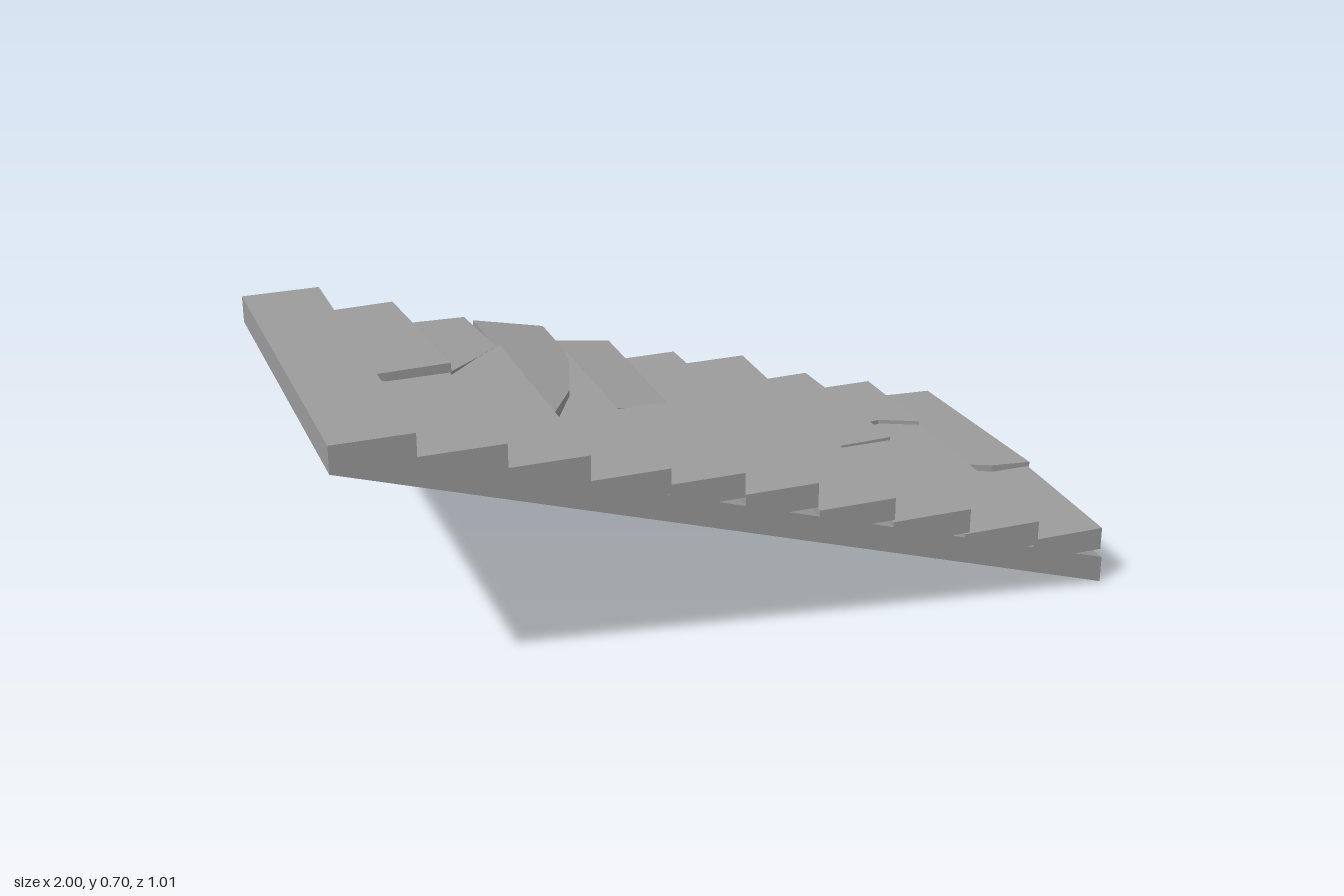
import * as THREE from 'three';

const material = new THREE.MeshStandardMaterial({ color: 0x9c9c9c, flatShading: true });
const THICK = 0.065;

const toShape = (points) => new THREE.Shape(points.map(([a, b]) => new THREE.Vector2(a, b)));

// Stone slab with a plan outline of [x, z] points. y is the top height at the
// first point; sx and sz tilt the slab along x and z.
function slab(name, outline, y, sx = 0, sz = 0, thick = THICK) {
  const shape = toShape(outline.map(([x, z]) => [x, -z]));
  const geo = new THREE.ExtrudeGeometry(shape, { depth: thick, bevelEnabled: false });
  geo.rotateX(-Math.PI / 2);
  const [x0, z0] = outline[0];
  const pos = geo.attributes.position;
  for (let i = 0; i < pos.count; i++) {
    pos.setY(i, pos.getY(i) + y - thick + sx * (pos.getX(i) - x0) + sz * (pos.getZ(i) - z0));
  }
  geo.computeVertexNormals();
  const mesh = new THREE.Mesh(geo, material);
  mesh.name = name;
  return mesh;
}

const rect = (x0, x1, zFront, zBack) => [[x0, zFront], [x1, zFront], [x1, zBack], [x0, zBack]];

export function createModel() {
  const group = new THREE.Group();
  group.name = 'brokenStairs';

  // Sloping base that carries the treads, cut flat under the top tread
  const side = toShape([[-1, 0.63], [0.993, 0], [0.993, 0.07], [-0.8, 0.637], [-1, 0.637]]);
  const baseGeo = new THREE.ExtrudeGeometry(side, { depth: 1, bevelEnabled: false });
  baseGeo.translate(0, 0, -0.495);
  const base = new THREE.Mesh(baseGeo, material);
  base.name = 'slopingBase';
  group.add(base);

  // Whole treads
  group.add(
    slab('topTread', rect(-1, -0.8, 0.505, -0.495), 0.7),
    slab('sixthTread', rect(-0.005, 0.185, 0.505, -0.495), 0.415, 0, 0.034),
    slab('seventhTread', rect(0.19, 0.393, 0.505, -0.495), 0.34, 0, 0, 0.06),
  );

  // Second tread, cracked across the middle
  group.add(
    slab('secondTreadFront', rect(-0.8, -0.59, 0.505, 0.01), 0.641, 0, 0.035),
    slab('secondTreadBack', [[-0.79, 0.003], [-0.582, -0.005], [-0.605, -0.505], [-0.8, -0.495]], 0.643, 0, 0.025),
  );

  // Third tread, with a loose rear corner
  group.add(
    slab('thirdTreadFront', [[-0.61, 0.505], [-0.393, 0.505], [-0.393, -0.228], [-0.575, -0.085], [-0.61, -0.48]],
      0.58),
    slab('thirdTreadBack', [[-0.565, -0.075], [-0.4, -0.235], [-0.412, -0.505], [-0.597, -0.49]], 0.59, -0.05, 0.05),
  );

  // Fourth tread, split diagonally with the rear shard tilted up
  group.add(
    slab('fourthTreadFront', [[-0.41, 0.505], [-0.195, 0.505], [-0.195, -0.3], [-0.28, 0], [-0.39, 0.2], [-0.41, 0.2]],
      0.515, 0, 0.005),
    slab('fourthTreadShard', [[-0.39, 0.2], [-0.28, 0], [-0.195, -0.27], [-0.195, -0.495], [-0.39, -0.495]],
      0.552, -0.22),
  );

  // Fifth tread, with the rear half sagging towards its edge
  group.add(
    slab('fifthTreadFront', rect(-0.2, -0.007, 0.505, 0.005), 0.473, 0, 0.03),
    slab('fifthTreadBack', rect(-0.2, -0.007, 0.005, -0.495), 0.468, -0.14),
  );

  // Eighth tread, cracked straight across
  group.add(
    slab('eighthTreadFront', rect(0.39, 0.603, 0.505, 0.048), 0.274, 0, 0.004),
    slab('eighthTreadBack', [[0.41, 0.043], [0.605, 0.035], [0.592, -0.5], [0.395, -0.495]], 0.275, 0, 0.035),
  );

  // Ninth tread, with a bent crack
  group.add(
    slab('ninthTreadFront', [[0.59, 0.505], [0.8, 0.505], [0.8, -0.17], [0.7, -0.22], [0.59, -0.21]], 0.206, 0, 0.015),
    slab('ninthTreadBack', [[0.6, -0.22], [0.7, -0.235], [0.803, -0.185], [0.795, -0.505], [0.59, -0.505]],
      0.2, 0, 0.005),
  );

  // Bottom tread, with the rear part shifted outwards
  group.add(
    slab('bottomTreadFront', [[0.79, 0.505], [0.987, 0.505], [0.992, 0.1], [0.89, 0.1], [0.79, 0.055]],
      0.155, 0, 0, 0.06),
    slab('bottomTreadBack', [[0.8, 0.045], [0.89, 0.085], [1, 0.095], [0.988, -0.5], [0.79, -0.505]],
      0.168, -0.03, 0.038),
  );

  return group;
}
